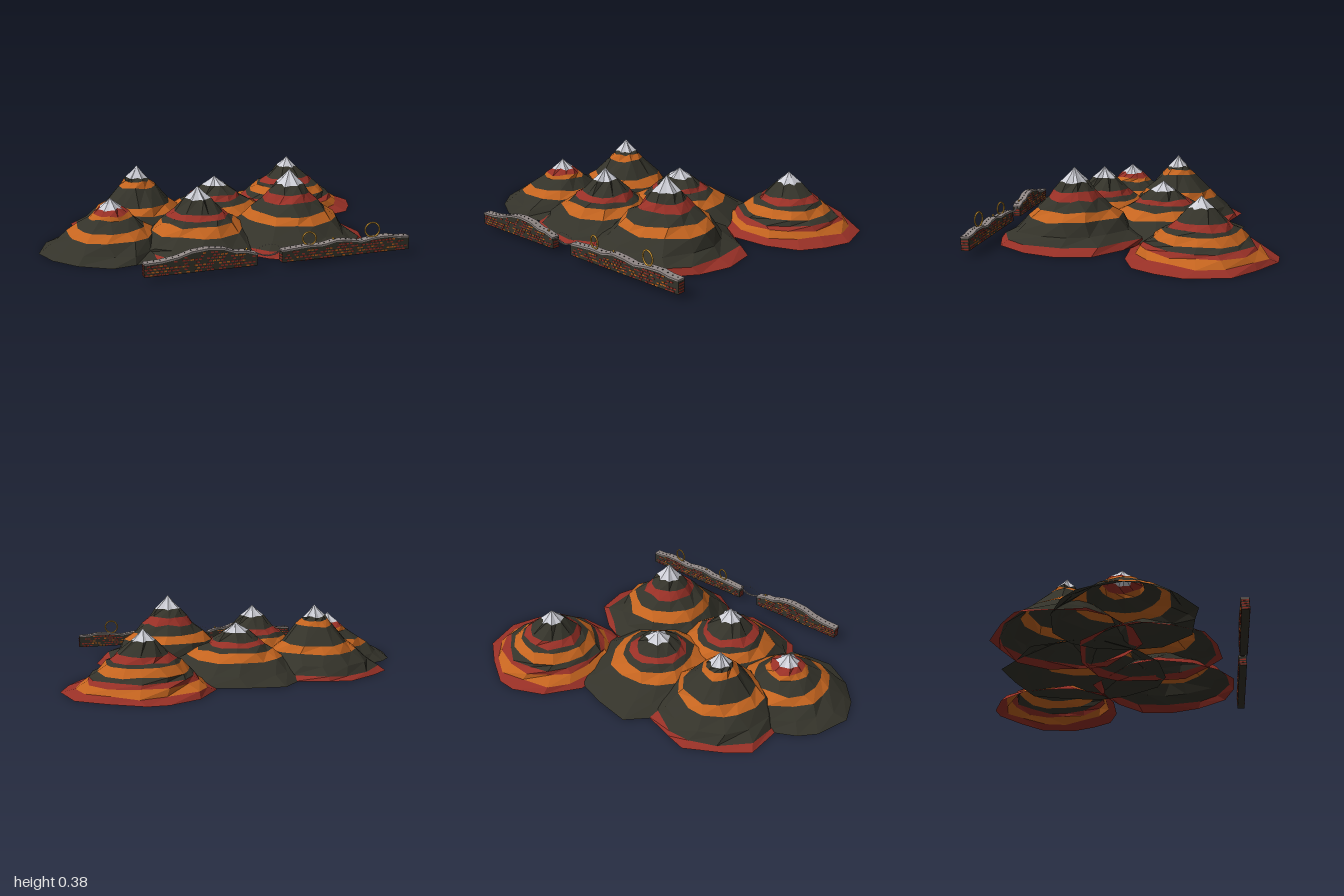
import * as THREE from 'three';
import { mergeGeometries } from 'three/addons/utils/BufferGeometryUtils.js';

const mat = (name, color, side = THREE.FrontSide) =>
  Object.assign(new THREE.MeshStandardMaterial({ color, side }), { name });

const M = {
  dark: mat('dark rock', 0x34332a, THREE.DoubleSide),
  red: mat('red clay', 0x983026, THREE.DoubleSide),
  orange: mat('orange clay', 0xc4641f, THREE.DoubleSide),
  snow: mat('snow', 0xcfd0d8, THREE.DoubleSide),
  stone: mat('grey stone', 0x918886),
  gold: mat('gold', 0xcf9a38),
};

// Seeded random numbers
let seed = 7;
const rnd = () => (seed = (seed * 16807) % 2147483647) / 2147483647;
const jitter = (amount) => (rnd() * 2 - 1) * amount;

function add(parent, name, geometry, material) {
  const mesh = new THREE.Mesh(geometry, material);
  mesh.name = name;
  parent.add(mesh);
  return mesh;
}

// Straight interpolation through [position, value] pairs
function lerpTable(table, t) {
  for (let i = 1; i < table.length; i++) {
    const [a, va] = table[i - 1], [b, vb] = table[i];
    if (t <= b) return va + (vb - va) * Math.max(0, (t - a) / (b - a));
  }
  return table[table.length - 1][1];
}

// Faceted skin between an upper and a lower ring
function ringBand(upper, lower) {
  const pos = [];
  const n = upper.length;
  for (let i = 0; i < n; i++) {
    const j = (i + 1) % n;
    for (const v of [lower[i], upper[i], lower[j], lower[j], upper[i], upper[j]]) pos.push(...v);
  }
  const g = new THREE.BufferGeometry();
  g.setAttribute('position', new THREE.Float32BufferAttribute(pos, 3));
  g.computeVertexNormals();
  return g;
}

// Share of the height against share of the base radius
const SLOPE = [[0, 1], [0.16, 0.8], [0.27, 0.68], [0.33, 0.6], [0.5, 0.44], [0.6, 0.35], [0.8, 0.14], [1, 0]];

// Mountain of coloured strata; each band is [outer radius, colour]
function mountain({ x, z, height, radius, bands }, index) {
  const group = new THREE.Group();
  group.name = 'mountain' + (index + 1);
  group.position.set(x, 0, z);
  const sides = 14;
  const ring = (r, flute = 0) => Array.from({ length: sides }, (_, i) => {
    const base = r >= radius;
    const a = (i + jitter(0.22)) / sides * Math.PI * 2;
    const rr = r * (1 + jitter(0.07) + (i % 2 ? flute : -flute));
    const y = base ? 0 : height * lerpTable(SLOPE, r / radius) + jitter(0.006);
    return [Math.cos(a) * rr, Math.max(0, y), Math.sin(a) * rr];
  });

  // Fluted snow cap
  const snowLine = ring(bands[0][0], 0.12);
  const middle = snowLine.map(([px, py, pz]) => [px * 0.45, py + (height - py) * 0.5, pz * 0.45]);
  const tip = snowLine.map(() => [0, height, 0]);
  add(group, 'snowCap', mergeGeometries([ringBand(tip, middle), ringBand(middle, snowLine)]), M.snow);

  // Strata below the snow
  let upper = snowLine;
  bands.slice(1).forEach(([r, colour], i) => {
    const lower = ring(r);
    add(group, colour + 'Stratum' + (i + 1), ringBand(upper, lower), M[colour]);
    upper = lower;
  });
  return group;
}

const MOUNTAINS = [
  { x: 0.32, z: 0.3, height: 0.385, radius: 0.41, bands: [[0.068, 'snow'], [0.11, 'dark'], [0.145, 'red'],
    [0.2, 'dark'], [0.25, 'orange'], [0.31, 'dark'], [0.365, 'dark'], [0.41, 'red']] },
  { x: 0.605, z: -0.4, height: 0.305, radius: 0.385, bands: [[0.06, 'snow'], [0.13, 'dark'], [0.165, 'red'],
    [0.19, 'dark'], [0.24, 'orange'], [0.27, 'dark'], [0.29, 'red'], [0.335, 'orange'], [0.385, 'red']] },
  { x: -0.63, z: 0.15, height: 0.265, radius: 0.375, bands: [[0.06, 'snow'], [0.095, 'red'], [0.115, 'orange'],
    [0.185, 'dark'], [0.235, 'orange'], [0.3, 'dark'], [0.375, 'dark']] },
  { x: -0.18, z: 0.24, height: 0.315, radius: 0.385, bands: [[0.062, 'snow'], [0.13, 'dark'], [0.165, 'red'],
    [0.195, 'dark'], [0.25, 'orange'], [0.31, 'dark'], [0.355, 'dark'], [0.385, 'red']] },
  { x: -0.41, z: -0.17, height: 0.36, radius: 0.375, bands: [[0.055, 'snow'], [0.07, 'dark'], [0.1, 'orange'],
    [0.19, 'dark'], [0.235, 'orange'], [0.29, 'dark'], [0.345, 'dark'], [0.375, 'red']] },
  { x: 0.04, z: -0.14, height: 0.275, radius: 0.44, bands: [[0.065, 'snow'], [0.125, 'dark'], [0.155, 'red'],
    [0.2, 'dark'], [0.265, 'orange'], [0.35, 'dark'], [0.44, 'dark']] },
];

const WALL = { z: 0.742, depth: 0.042, bottom: 0.027 };

const box = (w, h, d, x, y, z) => new THREE.BoxGeometry(w, h, d).translate(x, y, z);

// Strip of the wall outline pulled out to a depth
function extrudeOutline(points, depth) {
  const shape = new THREE.Shape(points.map(([x, y]) => new THREE.Vector2(x, y)));
  return new THREE.ExtrudeGeometry(shape, { depth, bevelEnabled: false }).translate(0, 0, WALL.z - depth / 2);
}

// Brick wall with a wavy stone path on top
function wall(name, top) {
  const group = new THREE.Group();
  group.name = name;
  const x0 = top[0][0], x1 = top[top.length - 1][0];
  add(group, 'wallBody', extrudeOutline([[x0, WALL.bottom], [x1, WALL.bottom], ...[...top].reverse()], WALL.depth), M.dark);
  const raised = top.map(([x, y]) => [x, y + 0.008]).reverse();
  add(group, 'stonePath', extrudeOutline([...top, ...raised], WALL.depth + 0.003), M.stone);

  // Rows of thin bricks on both faces and both ends
  const bricks = { red: [], orange: [] };
  const rowHeight = 0.014, width = 0.02;
  for (let row = 0; row < 8; row++) {
    const y = WALL.bottom + (row + 0.5) * rowHeight;
    for (let x = x0 + width / 2 + (row % 2) * width / 2; x < x1 - width / 2; x += width) {
      if (y + rowHeight / 2 > lerpTable(top, x)) continue;
      const pick = rnd();
      if (pick < 0.25) continue;
      const list = pick < 0.78 ? bricks.red : bricks.orange;
      for (const s of [-1, 1]) list.push(box(width - 0.005, 0.007, 0.003, x, y, WALL.z + s * WALL.depth / 2));
    }
    for (const [x, limit] of [[x0, top[0][1]], [x1, top[top.length - 1][1]]])
      if (y + rowHeight / 2 < limit) bricks.red.push(box(0.003, 0.007, WALL.depth - 0.006, x, y, WALL.z));
  }
  for (const colour in bricks) add(group, colour + 'Bricks', mergeGeometries(bricks[colour]), M[colour]);

  // Small studs along the path
  const studs = [];
  for (let x = x0 + 0.02; x < x1 - 0.01; x += 0.03)
    studs.push(box(0.004, 0.004, 0.004, x, lerpTable(top, x) + 0.009, WALL.z));
  add(group, 'pathStuds', mergeGeometries(studs), M.dark);
  return group;
}

export function createModel() {
  const model = new THREE.Group();
  model.name = 'mountainRange';
  MOUNTAINS.forEach((m, i) => model.add(mountain(m, i)));

  model.add(wall('rightWall', [[-0.6, 0.085], [-0.52, 0.088], [-0.44, 0.1], [-0.37, 0.122], [-0.29, 0.13],
    [-0.21, 0.122], [-0.15, 0.1], [-0.1, 0.098], [-0.04, 0.08]]));
  model.add(wall('leftWall', [[0.09, 0.082], [0.16, 0.087], [0.23, 0.092], [0.31, 0.09], [0.38, 0.105],
    [0.45, 0.1], [0.52, 0.088], [0.6, 0.1], [0.68, 0.102], [0.73, 0.092], [0.79, 0.09]]));

  // Sagging plank bridge between the walls
  const planks = [];
  for (let i = 0; i < 14; i++) {
    const t = (i + 0.5) / 14;
    planks.push(box(0.007, 0.004, 0.014, -0.04 + t * 0.13, 0.085 - 0.02 * Math.sin(t * Math.PI), WALL.z));
  }
  add(model, 'bridgePlanks', mergeGeometries(planks), M.stone);

  // Beads arching over the bridge
  const beads = [];
  for (let i = 0; i < 9; i++) {
    const t = i / 8;
    beads.push(new THREE.SphereGeometry(0.0025, 8, 6)
      .translate(-0.04 + t * 0.13, 0.1 + 0.022 * Math.sin(t * Math.PI), WALL.z));
  }
  add(model, 'bridgeBeads', mergeGeometries(beads), M.stone);

  // Gold hoops and lone coins on the path
  for (const [x, y, r, turn] of [[0.24, 0.13, 0.033, 0.25], [0.588, 0.143, 0.037, 0.2]]) {
    const hoop = add(model, 'goldHoop', new THREE.TorusGeometry(r, 0.0045, 8, 28), M.gold);
    hoop.position.set(x, y, WALL.z);
    hoop.rotation.y = -turn;
  }
  for (const [x, y] of [[-0.09, 0.11], [0.37, 0.118]])
    add(model, 'coin', new THREE.SphereGeometry(0.006, 12, 8), M.gold).position.set(x, y, WALL.z);

  return model;
}
